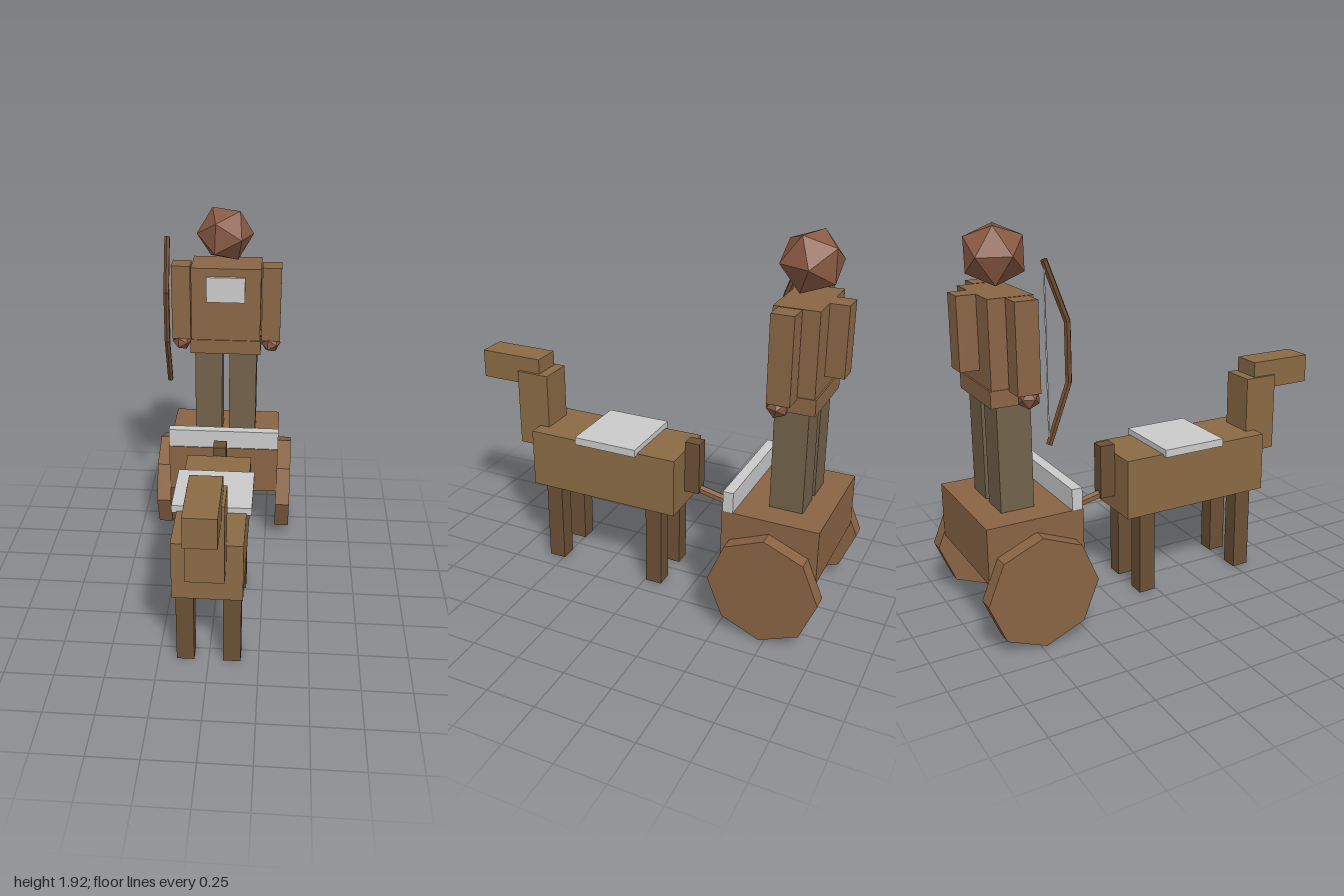
import * as THREE from 'three';

const mat = (color) => new THREE.MeshStandardMaterial({ color, flatShading: true });

export function createModel() {
  const model = new THREE.Group();
  const grey = mat(0xcccccc);
  const hide = mat(0x8b6b45);
  const darkHide = mat(0x6b5035);
  const wood = mat(0x8a6444);
  const cloth = mat(0x8a6646);
  const trousers = mat(0x72624a);
  const skin = mat(0x8a5a44);
  const bowWood = mat(0x704c30);

  const add = (parent, name, geometry, material) => {
    const mesh = new THREE.Mesh(geometry, material);
    mesh.name = name;
    parent.add(mesh);
    return mesh;
  };
  const group = (name) => {
    const g = new THREE.Group();
    g.name = name;
    model.add(g);
    return g;
  };
  // Box given by its limits on each axis
  const box = (parent, name, material, [x0, x1], [y0, y1], [z0, z1]) => {
    const mesh = add(parent, name, new THREE.BoxGeometry(x1 - x0, y1 - y0, z1 - z0), material);
    mesh.position.set((x0 + x1) / 2, (y0 + y1) / 2, (z0 + z1) / 2);
    return mesh;
  };
  // Straight rod between two points
  const rod = (parent, name, material, a, b, radius, sides = 6) => {
    const from = new THREE.Vector3(...a), to = new THREE.Vector3(...b);
    const dir = to.clone().sub(from);
    const mesh = add(parent, name, new THREE.CylinderGeometry(radius, radius, dir.length(), sides), material);
    mesh.position.copy(from).add(to).multiplyScalar(0.5);
    mesh.quaternion.setFromUnitVectors(new THREE.Vector3(0, 1, 0), dir.normalize());
    return mesh;
  };
  // Icosahedron turned so that one face looks forward
  const ball = (parent, name, radius, x, y, z) => {
    const geo = new THREE.IcosahedronGeometry(radius, 0);
    geo.rotateY(-Math.PI / 4).rotateX(0.6155).rotateZ(-0.946);
    const mesh = add(parent, name, geo, skin);
    mesh.position.set(x, y, z);
    return mesh;
  };
  const side = (s, a, b) => (s > 0 ? [a, b] : [-b, -a]);

  // Horse
  const horse = group('horse');
  box(horse, 'horseBody', hide, [-0.17, 0.17], [0.435, 0.745], [-0.17, 0.655]);
  box(horse, 'horseNeck', hide, [-0.09, 0.09], [0.625, 1.035], [0.6, 0.78]);
  box(horse, 'horseHead', hide, [-0.075, 0.075], [0.965, 1.115], [0.655, 1]);
  box(horse, 'saddle', grey, [-0.195, 0.195], [0.735, 0.775], [0.035, 0.38]);
  box(horse, 'horseTail', darkHide, [-0.035, 0.035], [0.515, 0.795], [-0.25, -0.17]);
  for (const s of [1, -1]) {
    box(horse, 'frontLeg', darkHide, side(s, 0.072, 0.16), [0, 0.435], [0.495, 0.585]);
    box(horse, 'hindLeg', darkHide, side(s, 0.072, 0.16), [0, 0.435], [-0.095, -0.008]);
  }

  // Chariot with pole, front rail and octagonal wheels
  const chariot = group('chariot');
  rod(chariot, 'pole', wood, [0, 0.543, -0.17], [0, 0.485, -0.443], 0.023);
  box(chariot, 'chariotBox', wood, [-0.31, 0.31], [0.345, 0.62], [-0.965, -0.485]);
  box(chariot, 'frontRail', grey, [-0.31, 0.31], [0.62, 0.725], [-0.542, -0.49]);
  for (const s of [1, -1]) {
    const wheel = add(chariot, 'wheel', new THREE.CylinderGeometry(0.276, 0.276, 0.08, 8).rotateZ(Math.PI / 2), wood);
    wheel.position.set(s * 0.345, 0.277, -0.725);
  }

  // Driver
  const driver = group('driver');
  box(driver, 'torso', cloth, [-0.19, 0.19], [1.21, 1.625], [-0.865, -0.648]);
  box(driver, 'belt', cloth, [-0.195, 0.195], [1.135, 1.215], [-0.873, -0.642]);
  box(driver, 'chestPlate', grey, [-0.105, 0.105], [1.44, 1.58], [-0.65, -0.63]);
  box(driver, 'quiver', cloth, [-0.055, 0.055], [1.28, 1.625], [-0.957, -0.86]);
  ball(driver, 'head', 0.155, -0.01, 1.787, -0.755);
  for (const s of [1, -1]) {
    box(driver, 'leg', trousers, side(s, 0.02, 0.173), [0.62, 1.135], [-0.84, -0.675]);
    box(driver, 'arm', cloth, side(s, 0.197, 0.3), [1.205, 1.625], [-0.785, -0.675]);
    ball(driver, 'hand', 0.055, s * 0.25, 1.18, -0.715);
  }

  // Bow in three straight limbs, with its string
  const bow = group('bow');
  const path = [[0.968, -0.65], [1.243, -0.547], [1.518, -0.547], [1.795, -0.65]].map(([y, z]) => [-0.312, y, z]);
  for (let i = 0; i < 3; i++) rod(bow, 'bowLimb', bowWood, path[i], path[i + 1], 0.016);
  rod(bow, 'bowString', grey, path[0], path[3], 0.004, 4);

  return model;
}
